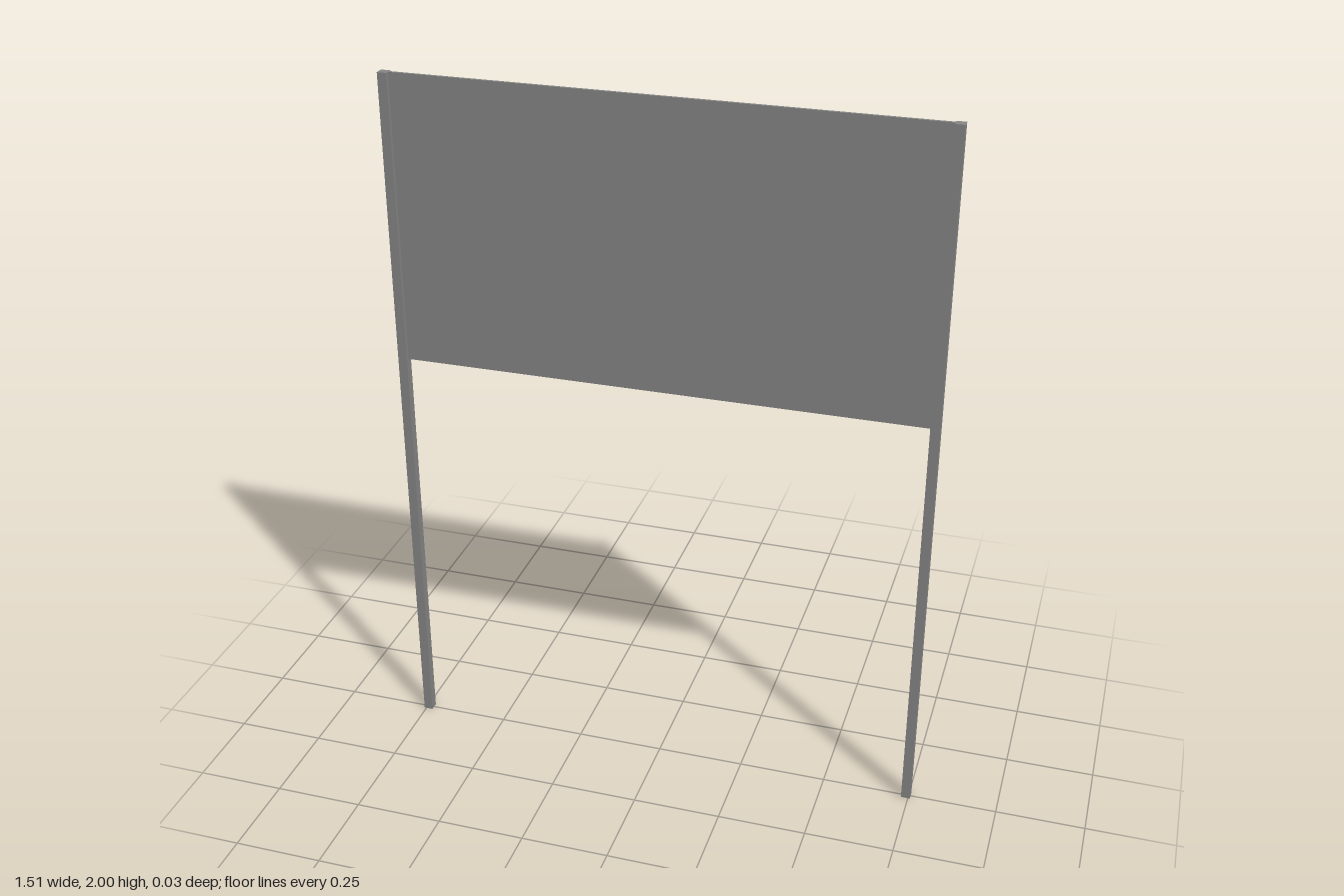
import * as THREE from 'three';

const HEIGHT = 2;
const POST = 0.026; // square post width
const HALF_WIDTH = 0.756; // centre to the outer face of a post
const PANEL_BOTTOM = 1.187;

export function createModel() {
  const group = new THREE.Group();
  group.name = 'signboard';
  const material = new THREE.MeshStandardMaterial({ color: 0x878787 });

  const addBox = (name, w, h, d, x, y, z) => {
    const mesh = new THREE.Mesh(new THREE.BoxGeometry(w, h, d), material);
    mesh.name = name;
    mesh.position.set(x, y, z);
    group.add(mesh);
  };

  // Two square posts
  for (const [name, side] of [['leftPost', 1], ['rightPost', -1]]) {
    addBox(name, POST, HEIGHT, POST, side * (HALF_WIDTH - POST / 2), HEIGHT / 2, 0);
  }

  // Thin board held between the posts, flush with their tops
  addBox('panel', 2 * (HALF_WIDTH - POST), HEIGHT - PANEL_BOTTOM, 0.008,
    0, (HEIGHT + PANEL_BOTTOM) / 2, -0.002);

  return group;
}
